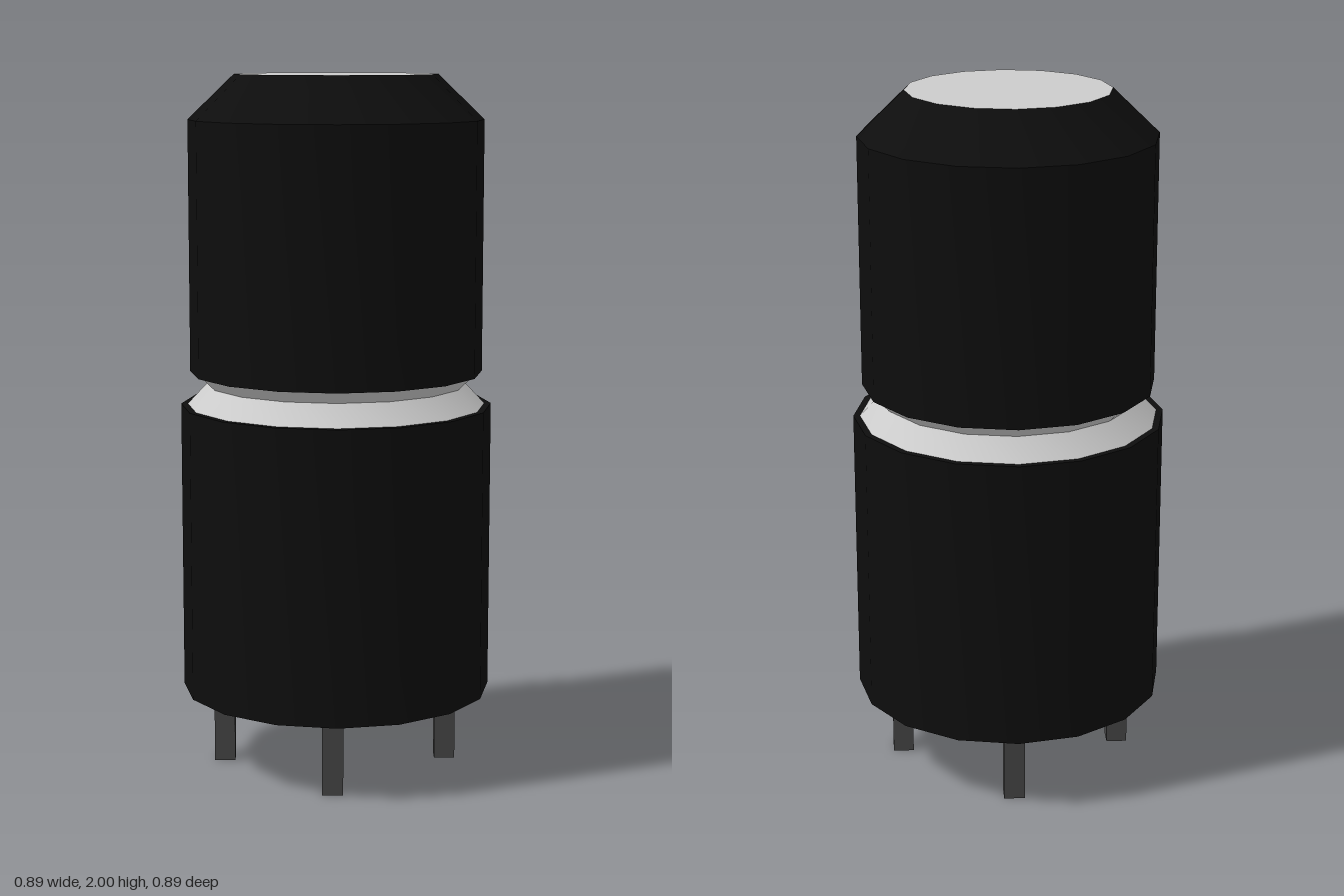
import * as THREE from 'three';
import { toCreasedNormals } from 'three/addons/utils/BufferGeometryUtils.js';

const SIDES = 16;
const black = new THREE.MeshStandardMaterial({ color: 0x0d0d0d, side: THREE.DoubleSide });
const grey = new THREE.MeshStandardMaterial({ color: 0xcccccc, side: THREE.DoubleSide });
const darkGrey = new THREE.MeshStandardMaterial({ color: 0x444444 });

// Turned part from [radius, height] pairs, bottom to top
function turned(name, profile, material) {
  const points = profile.map(([r, y]) => new THREE.Vector2(r, y));
  const geometry = toCreasedNormals(new THREE.LatheGeometry(points, SIDES), Math.PI / 6);
  const mesh = new THREE.Mesh(geometry, material);
  mesh.name = name;
  return mesh;
}

export function createModel() {
  const model = new THREE.Group();
  model.name = 'capsule';

  // Lower housing with closed base and narrow top rim
  model.add(turned('lowerBody', [[0, 0.225], [0.447, 0.225], [0.447, 1.06], [0.428, 1.06]], black));

  // V-shaped groove between the two halves
  model.add(turned('neckRing', [[0.428, 1.06], [0.372, 1.12], [0.408, 1.155]], grey));

  // Upper housing with chamfered shoulder
  model.add(turned('upperBody', [[0.408, 1.155], [0.42, 1.155], [0.42, 1.873], [0.288, 2]], black));

  // Flat disc on top
  const disc = new THREE.Mesh(new THREE.CircleGeometry(0.288, SIDES), grey);
  disc.name = 'topDisc';
  disc.rotation.x = -Math.PI / 2;
  disc.position.y = 2;
  model.add(disc);

  // Four square pins, turned to face outwards
  const pinGeometry = new THREE.BoxGeometry(0.06, 0.235, 0.06);
  const pins = new THREE.Group();
  pins.name = 'pins';
  for (const x of [-0.224, 0.22]) {
    for (const z of [-0.232, 0.239]) {
      const pin = new THREE.Mesh(pinGeometry, darkGrey);
      pin.name = 'pin';
      pin.position.set(x, 0.1175, z);
      pin.rotation.y = Math.PI / 4;
      pins.add(pin);
    }
  }
  model.add(pins);
  return model;
}
